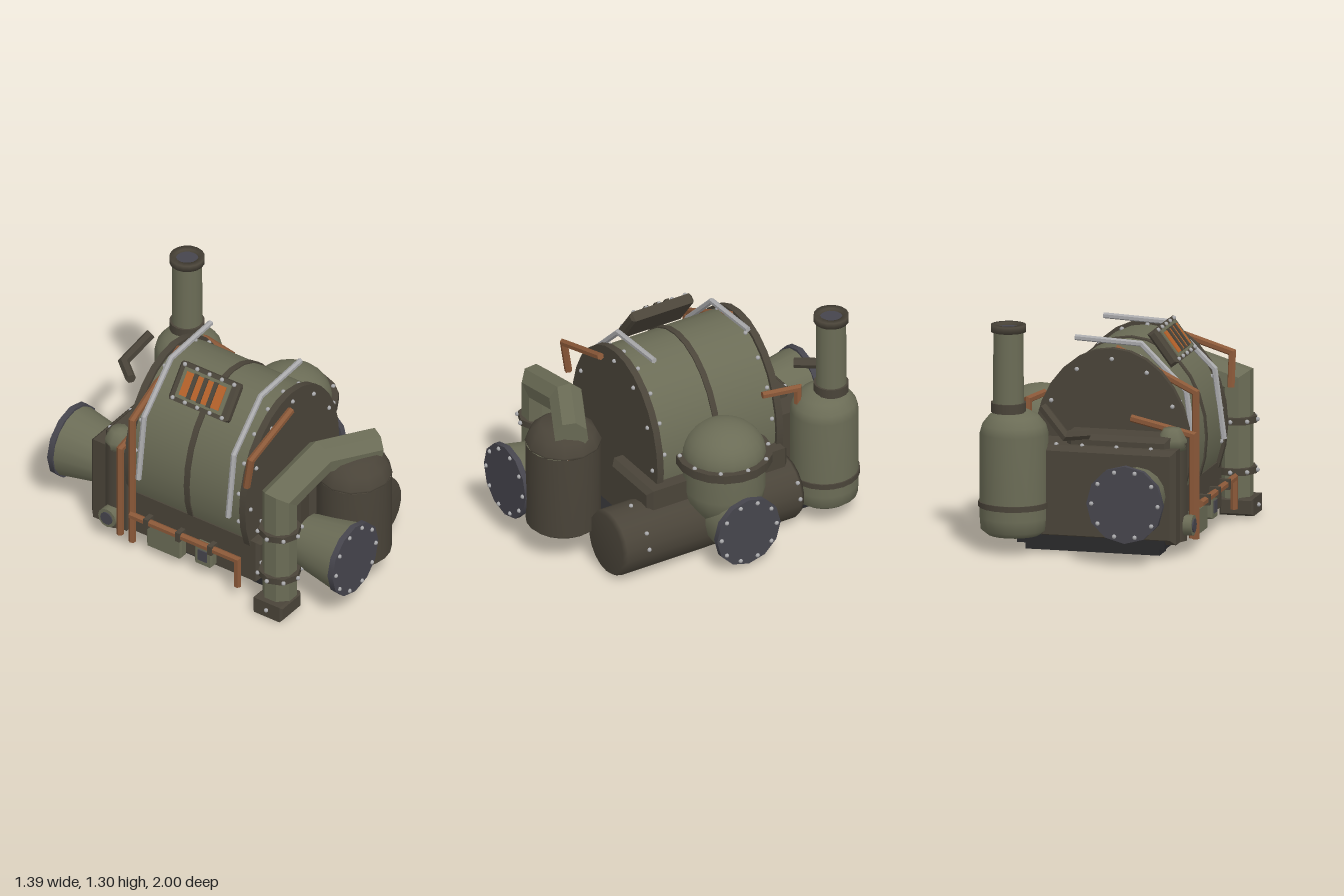
import * as THREE from 'three';

const mat = (name, color) => {
  const m = new THREE.MeshStandardMaterial({ color });
  m.name = name;
  return m;
};

export function createModel() {
  const root = new THREE.Group();
  root.name = 'boilerMachine';
  const green = mat('olivePaint', 0x6b6c56), brown = mat('darkBrownIron', 0x4a4439);
  const slate = mat('slateSteel', 0x46454d), black = mat('blackRubber', 0x29292b);
  const copper = mat('copper', 0x8a5838), orange = mat('glowOrange', 0xb5622a);
  const silver = mat('silver', 0xa9a9ab);

  const add = (name, geo, m, x = 0, y = 0, z = 0, parent = root) => {
    const mesh = new THREE.Mesh(geo, m);
    mesh.name = name;
    mesh.position.set(x, y, z);
    parent.add(mesh);
    return mesh;
  };
  // cylinder along axis; r1 is the radius at the + end
  const cyl = (r1, r2, h, seg = 16, axis = 'y') => {
    const g = new THREE.CylinderGeometry(r1, r2, h, seg);
    if (axis === 'z') g.rotateX(Math.PI / 2);
    if (axis === 'x') g.rotateZ(-Math.PI / 2);
    return g;
  };
  const box = (w, h, d) => new THREE.BoxGeometry(w, h, d);
  // box with bevelled edges
  const bevelBox = (w, h, d, b) => {
    const x = w / 2 - b, y = h / 2 - b;
    const s = new THREE.Shape([[-x, -y], [x, -y], [x, y], [-x, y]].map(p => new THREE.Vector2(...p)));
    const g = new THREE.ExtrudeGeometry(s, { depth: d - 2 * b, bevelThickness: b, bevelSize: b, bevelSegments: 1 });
    return g.translate(0, 0, b - d / 2);
  };
  // turned body; each profile segment keeps its edges sharp unless smooth
  const lathe = (pts, seg = 20) =>
    new THREE.LatheGeometry(pts.map(p => new THREE.Vector2(...p)), seg);
  // mitred pipe through points
  const pipe = (points, r, sides) => {
    const P = points.map(p => new THREE.Vector3(...p));
    const D = P.slice(1).map((p, i) => p.clone().sub(P[i]).normalize());
    const ref = Math.abs(D[0].y) > 0.9 ? new THREE.Vector3(0, 0, 1) : new THREE.Vector3(0, 1, 0);
    const u = ref.cross(D[0]).normalize(), w = D[0].clone().cross(u);
    let ring = [];
    for (let i = 0; i < sides; i++) {
      const a = (i + 0.5) / sides * Math.PI * 2;
      ring.push(P[0].clone().addScaledVector(u, r * Math.cos(a)).addScaledVector(w, r * Math.sin(a)));
    }
    const pos = [], tri = (...v) => v.forEach(p => pos.push(p.x, p.y, p.z));
    const cap = (c, rg, flip) => rg.forEach((p, i) => {
      const q = rg[(i + 1) % sides];
      flip ? tri(c, q, p) : tri(c, p, q);
    });
    cap(P[0], ring, true);
    D.forEach((d, k) => {
      const n = D[k + 1] ? d.clone().add(D[k + 1]) : d;
      const next = ring.map(v => v.clone().addScaledVector(d, P[k + 1].clone().sub(v).dot(n) / d.dot(n)));
      ring.forEach((p, i) => {
        const j = (i + 1) % sides;
        tri(p, ring[j], next[j]);
        tri(p, next[j], next[i]);
      });
      ring = next;
    });
    cap(P[P.length - 1], ring, false);
    const g = new THREE.BufferGeometry();
    g.setAttribute('position', new THREE.Float32BufferAttribute(pos, 3));
    g.computeVertexNormals();
    return g;
  };
  const boltGeo = new THREE.IcosahedronGeometry(0.013, 1);
  const bolt = (x, y, z) => add('bolt', boltGeo, silver, x, y, z);
  // ring of bolts; f maps (cos, sin) to a position
  const boltRing = (n, f, start = 0) => {
    for (let i = 0; i < n; i++) {
      const a = start + i / n * Math.PI * 2;
      bolt(...f(Math.cos(a), Math.sin(a)));
    }
  };

  // main drum, slightly oval, lying along z
  const CX = -0.115, CY = 0.57;
  const oval = (name, rx, ry, d, z, m) =>
    add(name, cyl(1, 1, d, 28, 'z').scale(rx, ry, 1), m, CX, CY, z);
  oval('drumBody', 0.435, 0.55, 0.8, -0.022, green);
  oval('drumBand', 0.443, 0.558, 0.036, -0.022, brown);
  for (const [z, out] of [[0.372, 1], [-0.42, -1]]) {
    oval('drumFlange', 0.455, 0.57, 0.042, z, brown);
    boltRing(12, (c, s) => [CX + 0.407 * c, CY + 0.51 * s, z + out * 0.024]);
    boltRing(18, (c, s) => [CX + 0.436 * c, CY + 0.551 * s, z - out * 0.04], 0.175);
  }

  // base: side beams, rear housing and skids
  add('rightBeam', bevelBox(0.42, 0.42, 0.93, 0.03), brown, 0.18, 0.29, 0.015);
  add('leftSill', bevelBox(0.18, 0.27, 0.9, 0.02), brown, -0.43, 0.215, 0.0);
  add('rearHousing', bevelBox(0.8, 0.54, 0.29, 0.03), brown, -0.15, 0.35, -0.555);
  add('rearHousingCap', bevelBox(0.6, 0.1, 0.22, 0.03), brown, -0.2, 0.63, -0.53);
  for (const x of [-0.4, -0.2, 0, 0.15]) bolt(x, 0.62, -0.66);
  for (const z of [-0.59, -0.08, 0.43]) {
    add('skidPlate', box(0.86, 0.05, 0.21), black, -0.06, 0.08, z);
    add('skidRunner', box(0.78, 0.045, 0.14), black, -0.06, 0.035, z);
  }

  // horizontal tank on the left
  const tank = lathe([[0, -0.6], [0.18, -0.6], [0.195, -0.575], [0.195, 0.575], [0.18, 0.6], [0, 0.6]], 18);
  add('sideTank', cyl(0.195, 0.195, 1.15, 18, 'z'), brown, 0.31, 0.2, 0.115);
  add('sideTankEnds', tank.rotateX(Math.PI / 2), brown, 0.31, 0.2, 0.115);
  for (const z of [0.55, 0.1, -0.45]) for (const a of [0.05, 0.55, 1.57])
    bolt(0.31 + 0.196 * Math.cos(a), 0.2 + 0.196 * Math.sin(a), z);

  // blanked ducts at front and rear
  for (const s of [1, -1]) {
    add('endDuct', cyl(s > 0 ? 0.21 : 0.155, s > 0 ? 0.155 : 0.21, 0.3, 16, 'z'), green, -0.333, 0.36, s * 0.805);
    add('ductFlange', cyl(0.222, 0.222, 0.035, 12, 'z'), slate, -0.333, 0.362, s * 0.968);
    boltRing(10, (c, n) => [-0.333 + 0.193 * c, 0.362 + 0.193 * n, s * 0.987]);
  }

  // domed vessel with side duct
  add('domeVesselBody', lathe([[0, 0.2], [0.1, 0.2], [0.18, 0.27], [0.222, 0.35], [0.235, 0.42], [0.235, 0.6]]), green, 0.415, 0, 0);
  add('domeRim', cyl(0.275, 0.275, 0.052, 18), brown, 0.415, 0.612, 0);
  add('dome', new THREE.SphereGeometry(0.238, 20, 8, 0, Math.PI * 2, 0, Math.PI / 2).scale(1, 0.8, 1), green, 0.415, 0.632, 0);
  boltRing(10, (c, s) => [0.415 + 0.256 * c, 0.64, 0.256 * s]);
  add('sideDuct', cyl(0.185, 0.165, 0.3, 16, 'x'), green, 0.51, 0.24, 0);
  add('sideDuctFlange', cyl(0.21, 0.21, 0.035, 12, 'x'), slate, 0.663, 0.238, 0);
  boltRing(10, (c, s) => [0.682, 0.238 + 0.182 * s, 0.182 * c]);

  // chimney vessel
  add('chimneyVessel', lathe([[0, 0.1], [0.15, 0.1], [0.188, 0.13], [0.194, 0.2], [0.194, 0.68], [0.18, 0.73], [0.14, 0.78], [0.08, 0.81], [0, 0.81]]), green, 0.39, 0, -0.68);
  add('chimneyVesselBand', cyl(0.202, 0.202, 0.032, 20), brown, 0.39, 0.275, -0.68);
  add('chimneyCollar', cyl(0.1, 0.1, 0.055, 16), brown, 0.415, 0.832, -0.71);
  add('chimneyPipe', cyl(0.085, 0.088, 0.44, 16), green, 0.415, 1.06, -0.71);
  add('chimneyRim', lathe([[0.065, 1.265], [0.1, 1.265], [0.1, 1.305], [0.065, 1.305], [0.065, 1.265]], 16), brown, 0.415, 0, -0.71);
  add('chimneyMouth', cyl(0.066, 0.066, 0.02, 16), slate, 0.415, 1.278, -0.71);

  // dark front vessel and its bent green pipe
  add('frontVessel', lathe([[0, 0.18], [0.19, 0.18], [0.212, 0.2], [0.212, 0.71]]), brown, -0.05, 0, 0.775);
  add('frontVesselCap', lathe([[0.212, 0.71], [0.217, 0.725], [0.185, 0.79], [0.13, 0.83], [0, 0.845]], 12), brown, -0.05, 0, 0.775);
  add('bentPipe', pipe([[-0.553, 0.08, 0.62], [-0.553, 0.765, 0.62], [-0.21, 0.86, 0.655], [0.1, 0.83, 0.815]], 0.1, 8), green);
  for (const y of [0.55, 0.26]) {
    add('pipeCollar', cyl(0.122, 0.122, 0.04, 8), brown, -0.553, y, 0.62);
    boltRing(8, (c, s) => [-0.553 + 0.126 * c, y, 0.62 + 0.126 * s]);
  }
  add('pipeFoot', bevelBox(0.2, 0.1, 0.2, 0.012), brown, -0.58, 0.06, 0.62);
  bolt(-0.685, 0.06, 0.62);

  // copper lines
  const lines = [
    [[-0.19, 1.085, 0.44], [-0.58, 0.965, 0.44], [-0.58, 0.77, 0.41]],
    [[-0.12, 1.13, -0.375], [-0.585, 0.9, -0.375], [-0.585, 0.06, -0.375]],
    [[-0.23, 0.75, -0.455], [-0.59, 0.67, -0.455], [-0.59, 0.08, -0.455]],
    [[-0.61, 0.08, 0.37], [-0.61, 0.26, 0.37], [-0.61, 0.26, -0.37]],
    [[0.31, 0.84, -0.32], [0.35, 0.84, -0.53], [0.35, 0.74, -0.53]],
  ];
  lines.forEach(p => add('copperLine', pipe(p, 0.022, 6), copper));
  for (const z of [-0.25, -0.03, 0.19]) add('lineClamp', box(0.06, 0.06, 0.03), brown, -0.605, 0.26, z);

  // bent exhaust tube at the rear
  add('rearTube', pipe([[0.19, 0.86, -0.8], [0.04, 0.72, -0.88], [-0.06, 0.71, -0.76]], 0.03, 6), brown);

  // silver rails over the drum
  for (const z of [0.28, -0.34])
    add('rail', pipe([[0.125, 1.172, z], [-0.26, 1.155, z], [-0.52, 0.9, z], [-0.575, 0.5, z]], 0.017, 6), silver);

  // tilted grille hatch: local y is outward, local x runs up the slope
  const hatch = new THREE.Group();
  hatch.name = 'grilleHatch';
  hatch.position.set(-0.355, 1.11, -0.03);
  hatch.rotation.z = 0.925;
  root.add(hatch);
  add('hatchFrame', bevelBox(0.23, 0.06, 0.41, 0.015), brown, 0, 0, 0, hatch);
  add('hatchPanel', box(0.18, 0.008, 0.32), green, 0, 0.033, 0, hatch);
  add('hatchGlow', box(0.14, 0.008, 0.27), orange, 0, 0.039, 0, hatch);
  for (const z of [-0.068, 0, 0.068]) add('hatchBar', box(0.15, 0.016, 0.026), brown, 0, 0.044, z, hatch);
  for (const x of [-0.1, 0.1]) for (const z of [-0.17, -0.085, 0, 0.085, 0.17])
    add('bolt', boltGeo, silver, x, 0.032, z, hatch);

  // fittings along the right side
  add('sidePanel', bevelBox(0.06, 0.14, 0.24, 0.01), green, -0.54, 0.13, -0.17);
  add('sidePanelSmall', bevelBox(0.06, 0.13, 0.12, 0.01), green, -0.54, 0.15, 0.1);
  add('sidePanelInset', box(0.008, 0.07, 0.06), slate, -0.573, 0.15, 0.1);
  add('cornerPost', cyl(0.075, 0.075, 0.56, 8), brown, -0.5, 0.36, -0.53);
  add('postCap', lathe([[0, 0.6], [0.085, 0.6], [0.085, 0.66], [0.05, 0.72], [0, 0.725]], 8), green, -0.49, 0, -0.53);
  add('valveRim', cyl(0.06, 0.06, 0.05, 12, 'x'), green, -0.59, 0.17, -0.53);
  add('valveFace', cyl(0.04, 0.04, 0.008, 12, 'x'), slate, -0.618, 0.17, -0.53);

  return root;
}
